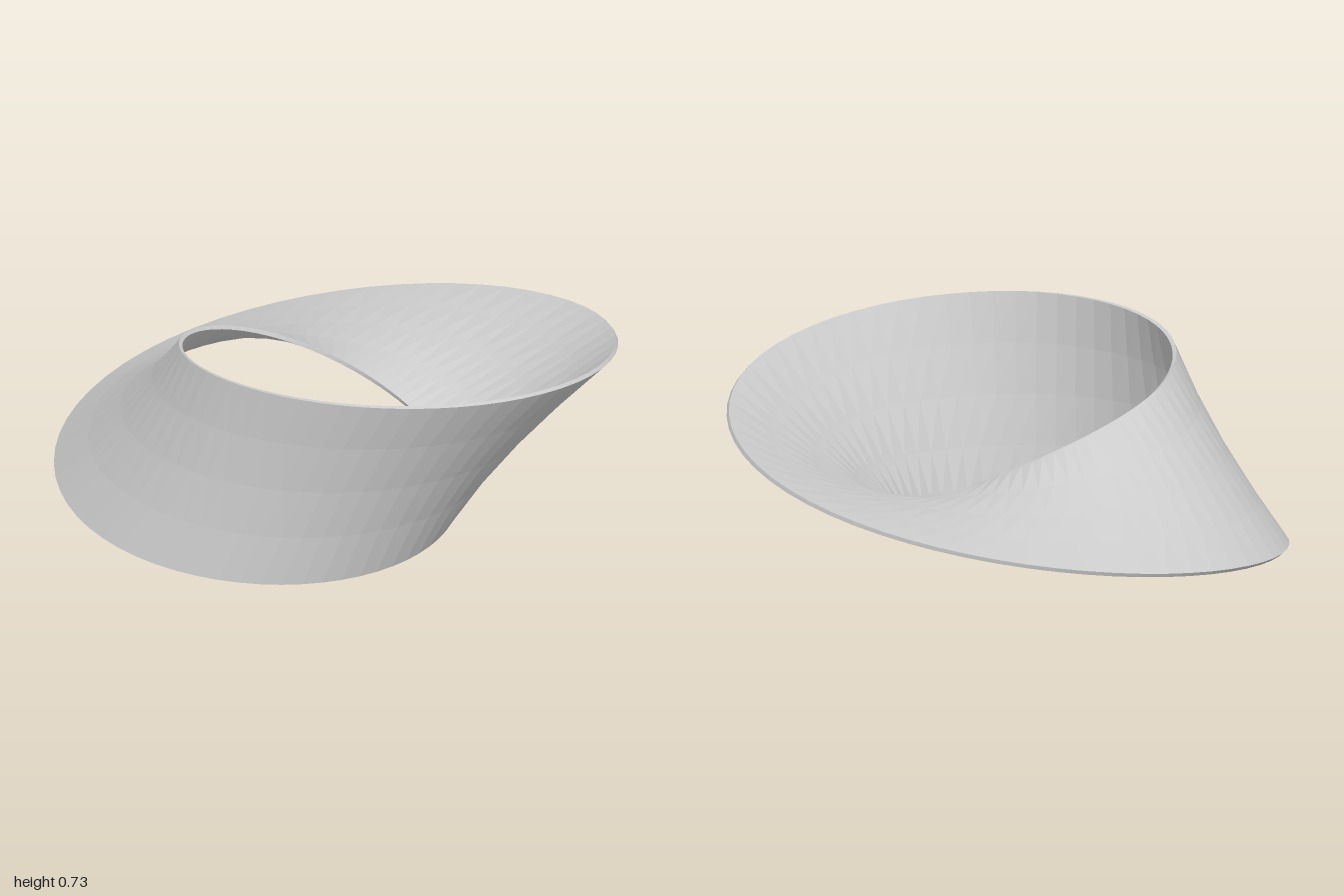
import * as THREE from 'three';

const RADIUS = 0.7285;     // centre-line radius
const HALF_WIDTH = 0.364;
const HALF_THICK = 0.0075;
const SEGMENTS = 64;       // around the loop
const BANDS = 4;           // across the band

// Point on the mid-surface: the band lies flat at the back and makes one half twist
function surfacePoint(angle, v) {
  const r = RADIUS + v * Math.cos(angle / 2);
  return new THREE.Vector3(
    r * Math.sin(angle),
    0.365 + v * Math.sin(angle / 2),
    0.165 - r * Math.cos(angle)
  );
}

function surfaceNormal(angle, v) {
  const e = 1e-3;
  const along = surfacePoint(angle + e, v).sub(surfacePoint(angle - e, v));
  const across = surfacePoint(angle, v + e).sub(surfacePoint(angle, v - e));
  return along.cross(across).normalize();
}

// Closed thin cross-section: up one face, back down the other
function crossSection(angle) {
  const points = [];
  for (const side of [1, -1]) {
    for (let j = 0; j <= BANDS; j++) {
      const v = side * HALF_WIDTH * (2 * j / BANDS - 1);
      points.push(surfacePoint(angle, v).addScaledVector(surfaceNormal(angle, v), side * HALF_THICK));
    }
  }
  return points;
}

function twistedBandGeometry() {
  const positions = [], indices = [];
  const n = 2 * (BANDS + 1);
  for (let i = 0; i <= SEGMENTS; i++) {
    const angle = -Math.PI + (2 * Math.PI * i) / SEGMENTS;
    for (const p of crossSection(angle)) positions.push(p.x, p.y, p.z);
  }
  for (let i = 0; i < SEGMENTS; i++) {
    for (let j = 0; j < n; j++) {
      const k = (j + 1) % n;
      const a = i * n + j, b = (i + 1) * n + j, c = (i + 1) * n + k, d = i * n + k;
      indices.push(a, b, c, a, c, d);
    }
  }
  const geometry = new THREE.BufferGeometry();
  geometry.setAttribute('position', new THREE.Float32BufferAttribute(positions, 3));
  geometry.setIndex(indices);
  geometry.computeVertexNormals();
  return geometry;
}

export function createModel() {
  const group = new THREE.Group();
  group.name = 'mobiusStrip';
  const material = new THREE.MeshStandardMaterial({ color: 0xcccccc, flatShading: true });
  const band = new THREE.Mesh(twistedBandGeometry(), material);
  band.name = 'twistedBand';
  group.add(band);
  return group;
}
